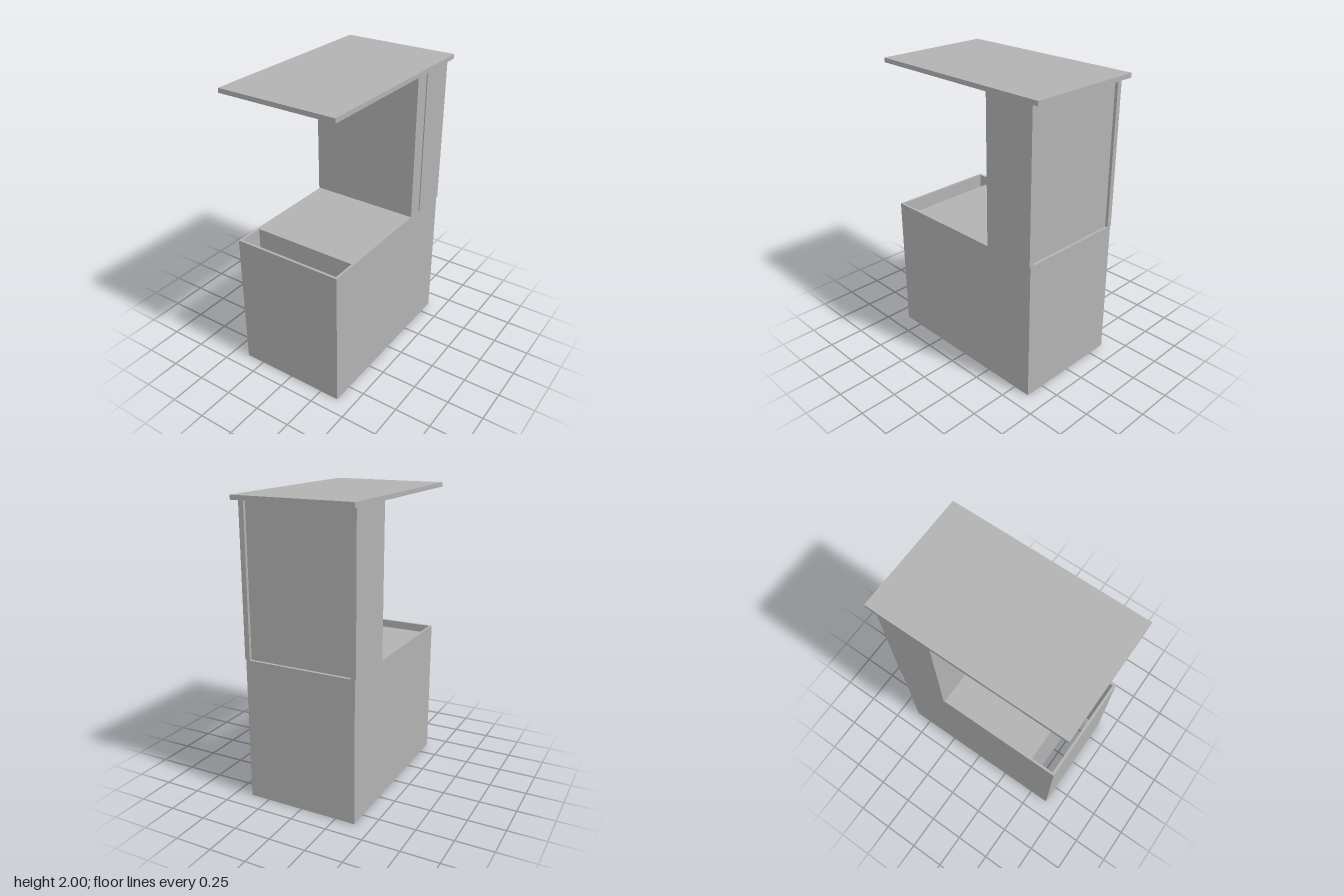
import * as THREE from 'three';

export function createModel() {
  const group = new THREE.Group();
  const grey = new THREE.MeshStandardMaterial({ color: 0xb2b2b2 });
  grey.name = 'grey';

  const add = (name, geometry) => {
    const mesh = new THREE.Mesh(geometry, grey);
    mesh.name = name;
    group.add(mesh);
  };

  // Box given by its limits on each axis
  const box = (name, [x0, x1], [y0, y1], [z0, z1]) => {
    const g = new THREE.BoxGeometry(x1 - x0, y1 - y0, z1 - z0);
    g.translate((x0 + x1) / 2, (y0 + y1) / 2, (z0 + z1) / 2);
    add(name, g);
  };

  // Rectangle path in plan (shape y is -z)
  const rect = (path, x, zBack, zFront) => {
    path.moveTo(-x, -zFront);
    path.lineTo(x, -zFront);
    path.lineTo(x, -zBack);
    path.lineTo(-x, -zBack);
    path.closePath();
    return path;
  };

  const baseTop = 0.965;
  const roofBottom = 1.97;
  const upper = [baseTop, roofBottom];

  // Base cabinet with a slot running down behind its front panel
  const plan = rect(new THREE.Shape(), 0.385, -0.62, 0.64);
  plan.holes.push(rect(new THREE.Path(), 0.369, 0.457, 0.622));
  const base = new THREE.ExtrudeGeometry(plan, { depth: baseTop, bevelEnabled: false });
  base.rotateX(-Math.PI / 2);
  add('baseCabinet', base);

  // Upper cabinet: core, recessed at the back between two side panels
  box('upperCabinet', [-0.357, 0.385], upper, [-0.6, -0.25]);
  box('rightSidePanel', [-0.392, -0.357], upper, [-0.62, -0.25]);
  box('leftSidePanel', [0.357, 0.392], upper, [-0.62, -0.355]);

  // Overhanging roof slab
  box('roof', [-0.41, 0.41], [roofBottom, 2], [-0.675, 0.675]);

  return group;
}
